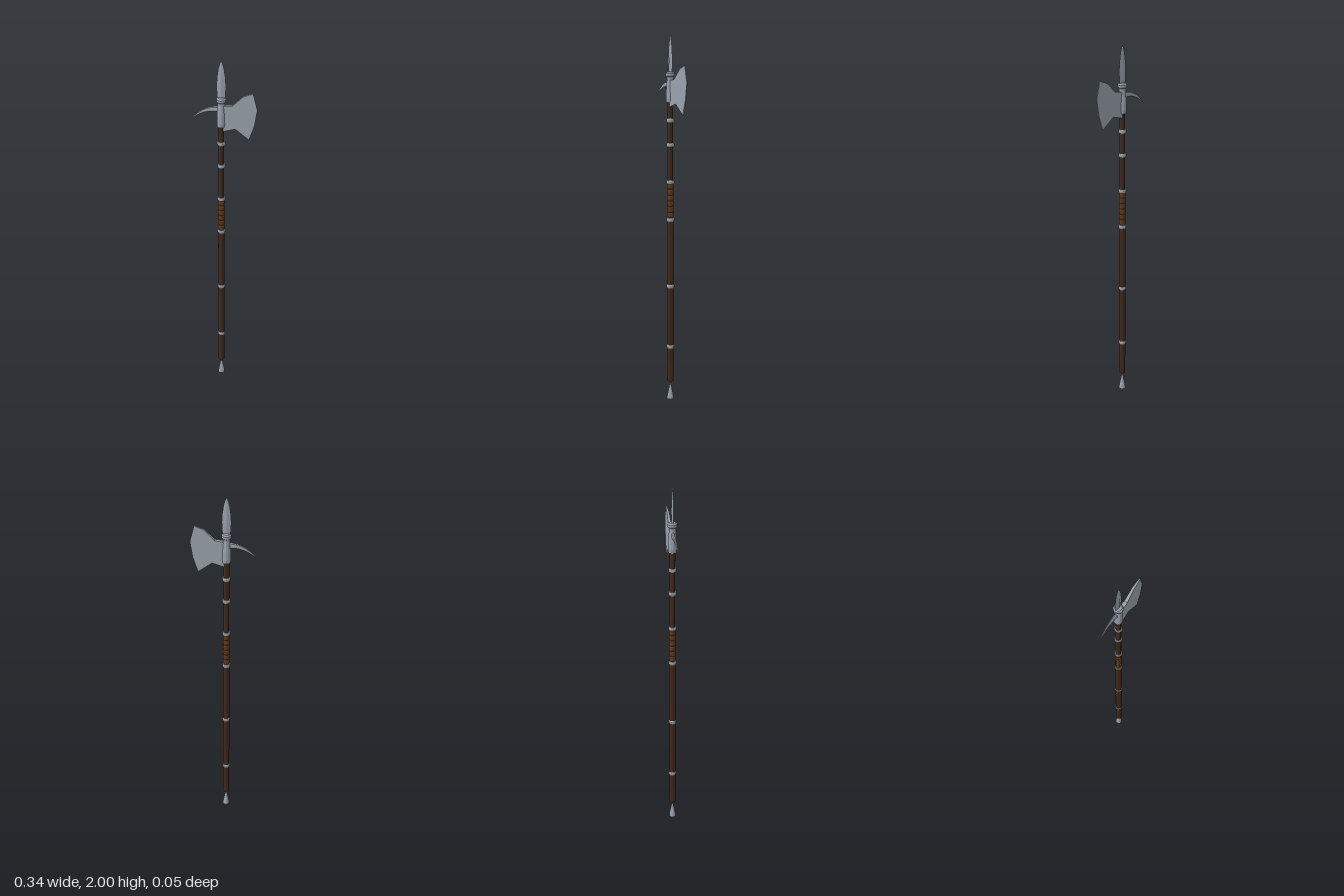
import * as THREE from 'three';

const AXIS_X = -0.012; // the pole stands slightly off centre

const mat = (color) => new THREE.MeshStandardMaterial({ color, flatShading: true });
const steel = mat(0x9aa2ac);
const wood = mat(0x40281a);
const leather = mat(0x5e3819);

function add(group, name, geometry, material) {
  const mesh = new THREE.Mesh(geometry, material);
  mesh.name = name;
  group.add(mesh);
  return mesh;
}

// Turned part from [radius, height] pairs, bottom to top
const turned = (points, sides = 12) =>
  new THREE.LatheGeometry(points.map(([r, y]) => new THREE.Vector2(r, y)), sides);

// Axe blade: outline extruded, then thinned towards the cutting edge
function bladeGeometry() {
  const outline = [
    [0, 1.627], [0.06, 1.645], [0.131, 1.59], [0.157, 1.67], [0.17, 1.757],
    [0.148, 1.845], [0.098, 1.825], [0.045, 1.771], [0, 1.765],
  ];
  const shape = new THREE.Shape(outline.map(([x, y]) => new THREE.Vector2(x, y)));
  const geo = new THREE.ExtrudeGeometry(shape, { depth: 1, bevelEnabled: false });
  const p = geo.attributes.position;
  for (let i = 0; i < p.count; i++) {
    const half = THREE.MathUtils.lerp(0.011, 0.002, p.getX(i) / 0.17);
    p.setZ(i, (p.getZ(i) * 2 - 1) * half);
  }
  geo.computeVertexNormals();
  return geo;
}

// Back hook: cylinder bent along a curve and tapered to a point
function hookGeometry() {
  const curve = new THREE.CatmullRomCurve3([
    [-0.02, 1.745], [-0.07, 1.739], [-0.115, 1.72], [-0.145, 1.697], [-0.17, 1.674],
  ].map(([x, y]) => new THREE.Vector3(x, y, 0)));
  const geo = new THREE.CylinderGeometry(1, 1, 1, 8, 8);
  const p = geo.attributes.position;
  for (let i = 0; i < p.count; i++) {
    const t = p.getY(i) + 0.5;
    const c = curve.getPointAt(t);
    const d = curve.getTangentAt(t);
    const taper = 1 - 0.97 * t;
    const h = p.getX(i) * 0.018 * taper;
    p.setXYZ(i, c.x + d.y * h, c.y - d.x * h, p.getZ(i) * 0.01 * taper);
  }
  geo.computeVertexNormals();
  return geo;
}

export function createModel() {
  const model = new THREE.Group();
  model.name = 'poleaxe';
  const pole = new THREE.Group();
  pole.name = 'pole';
  pole.position.x = AXIS_X;
  model.add(pole);

  // Wooden shaft, thicker below the grip
  add(pole, 'lowerShaft', turned([[0, 0.105], [0.018, 0.105], [0.018, 1.0], [0.016, 1.02], [0, 1.02]]), wood);
  add(pole, 'upperShaft', turned([[0, 1.0], [0.015, 1.0], [0.0145, 1.68], [0, 1.68]]), wood);

  // Leather grip with rounded wraps
  const wraps = 6, y0 = 1.03, step = 0.187 / wraps;
  const grip = [];
  for (let i = 0; i < wraps; i++) {
    const y = y0 + i * step;
    grip.push([0.0155, y], [0.0185, y + step * 0.25], [0.0185, y + step * 0.75]);
  }
  grip.push([0.0155, y0 + wraps * step]);
  add(pole, 'grip', turned(grip), leather);

  // Steel bands along the shaft
  for (const y of [0.305, 0.65, 1.02, 1.225, 1.425, 1.555]) {
    const band = turned([[0.014, -0.01], [0.019, -0.01], [0.0215, -0.004],
      [0.0215, 0.004], [0.019, 0.01], [0.014, 0.01]]);
    add(pole, 'band', band, steel).position.y = y;
  }

  // Foot cone
  add(pole, 'footSpike', turned([[0, 0], [0.019, 0], [0.017, 0.018], [0.002, 0.097], [0, 0.097]]), steel);

  // Head socket with flared collar
  add(pole, 'socket', turned([[0, 1.65], [0.021, 1.65], [0.023, 1.67], [0.022, 1.71], [0.018, 1.77],
    [0.019, 1.782], [0.0245, 1.787], [0.0245, 1.8], [0.018, 1.808], [0, 1.812]]), steel);

  // Flat diamond-section top spike
  const spike = turned([[0, 1.79], [0.018, 1.79], [0.022, 1.83], [0.0235, 1.87],
    [0.021, 1.915], [0.0145, 1.96], [0.006, 1.99], [0, 2]], 4);
  spike.scale(1, 1, 0.27);
  add(pole, 'topSpike', spike, steel);

  add(model, 'axeBlade', bladeGeometry(), steel);
  add(model, 'backHook', hookGeometry(), steel);
  return model;
}
